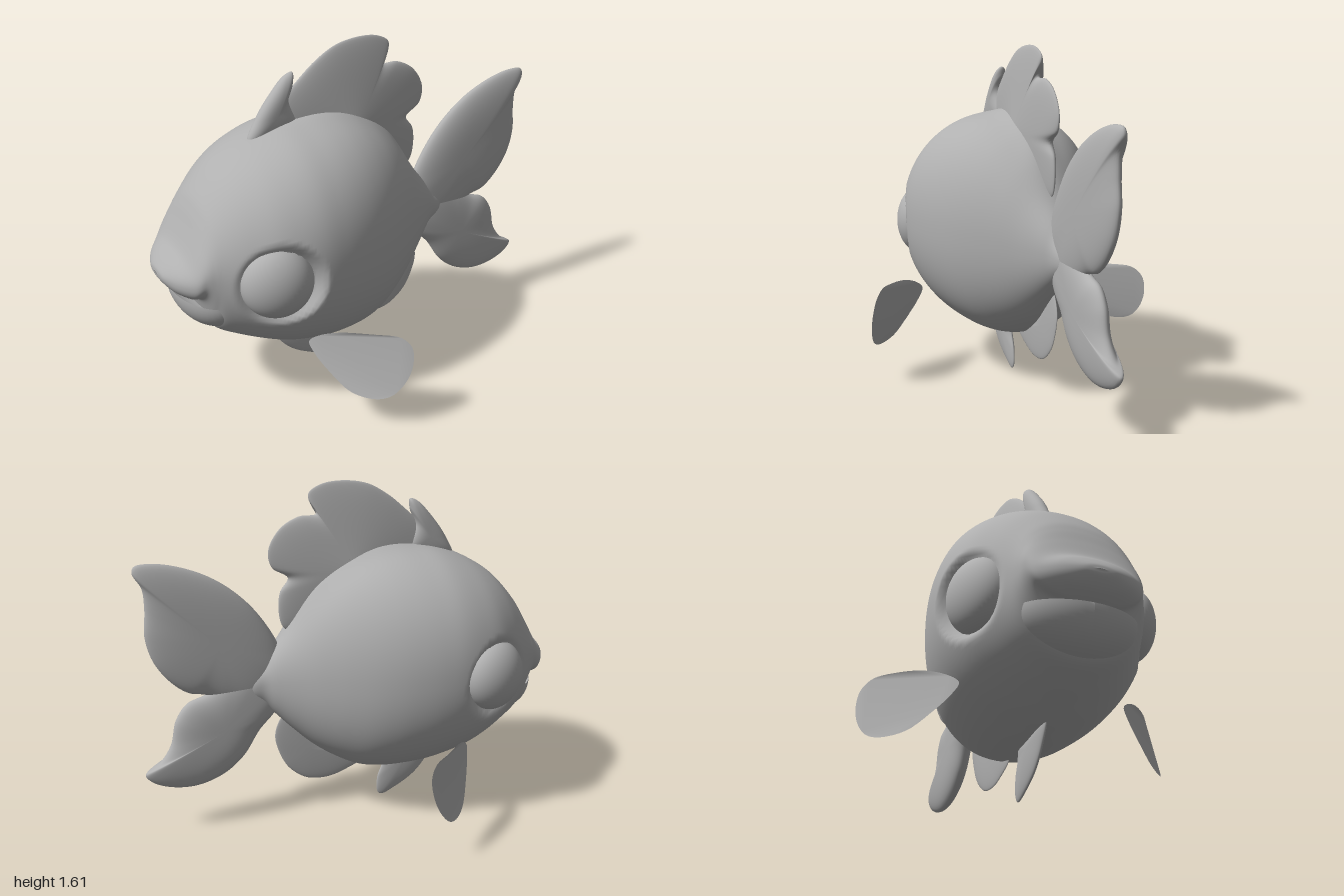
import * as THREE from 'three';

const grey = new THREE.MeshStandardMaterial({ color: 0xb0b0b0, side: THREE.DoubleSide });
grey.name = 'plain grey';

// Smooth surface from a grid of points: nu + 1 loops of nv points each
function loops(nu, nv, point) {
  const pos = [], index = [];
  for (let i = 0; i <= nu; i++) {
    for (let j = 0; j < nv; j++) {
      pos.push(...point(i / nu, j / nv));
      if (i === nu) continue;
      const a = i * nv + j, b = i * nv + (j + 1) % nv;
      index.push(a, b, a + nv, b, b + nv, a + nv);
    }
  }
  const g = new THREE.BufferGeometry();
  g.setAttribute('position', new THREE.Float32BufferAttribute(pos, 3));
  g.setIndex(index);
  g.computeVertexNormals();
  return g;
}

const outlineCurve = (pts) => new THREE.CatmullRomCurve3(
  pts.map(([x, y]) => new THREE.Vector3(x, y, 0)), true, 'centripetal');

// Solid fin: an outline swelling towards its centre.
// A higher power keeps it full up to the rim; reach makes it thin out with distance.
function fin(pts, [cx, cy], half, power = 2, reach = Infinity) {
  const flat = pts.map(([x, y]) => new THREE.Vector2(x, y));
  if (THREE.ShapeUtils.isClockWise(flat)) pts = [...pts].reverse();
  const n = 120, rim = outlineCurve(pts).getPoints(n);
  return loops(28, n, (u, v) => {
    const a = (u * 2 - 1) * Math.PI / 2, r = Math.cos(a), p = rim[Math.round(v * n)];
    const dx = (p.x - cx) * r, dy = (p.y - cy) * r;
    const taper = Math.max(0, 1 - Math.hypot(dx, dy) / reach);
    const z = Math.sign(a) * half * taper * Math.sqrt(Math.max(0, 1 - Math.pow(r, power)));
    return [cx + dx, cy + dy, z];
  });
}

// Body stations: x, top, bottom, half width
const stations = [
  [-1, 0.722, 0.718, 0.02], [-0.993, 0.745, 0.69, 0.08], [-0.96, 0.782, 0.648, 0.165],
  [-0.91, 0.825, 0.615, 0.235], [-0.865, 0.91, 0.595, 0.265], [-0.83, 0.985, 0.5, 0.285],
  [-0.79, 1.05, 0.415, 0.31], [-0.7, 1.145, 0.36, 0.37], [-0.6, 1.21, 0.315, 0.43],
  [-0.5, 1.255, 0.275, 0.462], [-0.4, 1.285, 0.25, 0.476], [-0.3, 1.295, 0.23, 0.47],
  [-0.2, 1.295, 0.222, 0.451], [-0.1, 1.28, 0.222, 0.42], [0, 1.245, 0.24, 0.375],
  [0.1, 1.185, 0.29, 0.314], [0.2, 1.09, 0.36, 0.24], [0.3, 0.955, 0.455, 0.158],
  [0.38, 0.855, 0.54, 0.095], [0.43, 0.79, 0.59, 0.06], [0.49, 0.74, 0.62, 0.042],
  [0.55, 0.69, 0.66, 0.01],
];
const EYE = [-0.59, 0.725];

function bodyGeometry() {
  const heights = new THREE.CatmullRomCurve3(
    stations.map(([x, t, b]) => new THREE.Vector3(x, t, b)), false, 'catmullrom');
  const widths = new THREE.CatmullRomCurve3(
    stations.map(([x, , , w]) => new THREE.Vector3(x, w, 0)), false, 'catmullrom');
  const swell = (s, power) => Math.sign(s) * Math.pow(Math.abs(s), power);
  const { smoothstep } = THREE.MathUtils;
  return loops(150, 128, (u, v) => {
    const h = heights.getPoint(u), w = Math.max(widths.getPoint(u).y, 0.002);
    const a = v * Math.PI * 2, c = Math.cos(a), power = c < 0 ? 0.9 : 0.93;
    let y = (h.y + h.z) / 2 + swell(c, power) * (h.y - h.z) / 2;
    let z = swell(Math.sin(a), power) * w;
    // the back rises softly into the fin
    if (c > 0) {
      y += 0.04 * Math.exp(-((z / 0.075) ** 2)) * smoothstep(h.x, -0.45, 0) * (1 - smoothstep(h.x, 0.15, 0.34));
    }
    // shallow eye sockets, deeper towards the cheek
    const d = Math.hypot((h.x - EYE[0]) / 0.2, (y - EYE[1]) / 0.21);
    const dent = 1 - smoothstep(d, 0.72, 0.95);
    z -= Math.sign(z) * dent * (0.042 + (h.x - EYE[0]) * 0.16);
    return [h.x, y, z];
  });
}

// Lower jaw: a half ball whose upper half is pressed in as the open mouth
function jawGeometry() {
  const g = new THREE.SphereGeometry(1, 48, 40), p = g.attributes.position;
  for (let i = 0; i < p.count; i++) if (p.getY(i) > 0) p.setY(i, -0.4 * p.getY(i));
  g.scale(0.175, 0.185, 0.275);
  g.translate(-0.758, 0.605, 0);
  g.computeVertexNormals();
  return g;
}

// Side fin: a thin, slightly cupped sheet, slanting outwards
function sideFinGeometry(side) {
  const pts = [[-0.455, 0.39], [-0.42, 0.43], [-0.35, 0.465], [-0.25, 0.477], [-0.16, 0.472],
    [-0.122, 0.43], [-0.125, 0.35], [-0.16, 0.265], [-0.22, 0.195], [-0.28, 0.174],
    [-0.35, 0.19], [-0.41, 0.27], [-0.445, 0.34]];
  const shape = new THREE.Shape(outlineCurve(pts).getPoints(60).map((p) => new THREE.Vector2(p.x, p.y)));
  const g = new THREE.ShapeGeometry(shape), p = g.attributes.position;
  for (let i = 0; i < p.count; i++) {
    const out = p.getX(i) + 0.455;
    const bulge = 0.035 * Math.sin(Math.PI * out / 0.335);
    p.setZ(i, side * (0.385 + out + bulge - 0.25 * (p.getY(i) - 0.38)));
  }
  if (side < 0) g.setIndex(Array.from(g.index.array).reverse());
  g.computeVertexNormals();
  return g;
}

export function createModel() {
  const model = new THREE.Group();
  model.name = 'fish';
  const add = (name, geometry) => {
    const mesh = new THREE.Mesh(geometry, grey);
    mesh.name = name;
    model.add(mesh);
    return mesh;
  };

  add('body', bodyGeometry());
  add('lowerJaw', jawGeometry());

  // Back fin: a small spike and three scalloped lobes
  add('backSpike', fin([[-0.53, 1.22], [-0.49, 1.32], [-0.41, 1.43], [-0.34, 1.5], [-0.305, 1.51],
    [-0.305, 1.47], [-0.33, 1.39], [-0.28, 1.26], [-0.4, 1.2]], [-0.4, 1.33], 0.04, 3));
  add('backFin', fin([[-0.47, 1.25], [-0.36, 1.39], [-0.27, 1.475], [-0.19, 1.54], [-0.09, 1.595],
    [0.03, 1.615], [0.13, 1.605], [0.19, 1.57], [0.19, 1.535], [0.155, 1.472], [0.24, 1.465],
    [0.33, 1.415], [0.385, 1.32], [0.37, 1.24], [0.295, 1.185], [0.335, 1.12], [0.342, 1.02],
    [0.32, 0.95], [0.27, 0.93], [0.18, 1.02], [0, 1.15], [-0.25, 1.21]], [-0.02, 1.2], 0.07, 8, 0.54));

  // Tail: two swollen lobes, overlapping where they leave the body
  add('tailUpperLobe', fin([[0.34, 0.85], [0.42, 1], [0.52, 1.12], [0.65, 1.22], [0.8, 1.285],
    [0.92, 1.308], [0.985, 1.3], [0.995, 1.27], [0.958, 1.2], [0.952, 1.1], [0.96, 0.98],
    [0.93, 0.86], [0.86, 0.755], [0.78, 0.69], [0.7, 0.67], [0.58, 0.61], [0.43, 0.57],
    [0.31, 0.7]], [0.63, 0.91], 0.05, 3));
  add('tailLowerLobe', fin([[0.36, 0.56], [0.45, 0.46], [0.53, 0.34], [0.63, 0.26], [0.76, 0.22],
    [0.88, 0.23], [0.97, 0.27], [0.998, 0.312], [0.93, 0.36], [0.875, 0.44], [0.845, 0.56],
    [0.79, 0.635], [0.7, 0.67], [0.58, 0.74], [0.43, 0.79], [0.32, 0.68]], [0.63, 0.49], 0.05, 3));

  // Belly fins on the centre line
  add('frontBellyFin', fin([[-0.47, 0.28], [-0.42, 0.17], [-0.35, 0.09], [-0.25, 0.03], [-0.175, 0.003],
    [-0.155, 0.025], [-0.155, 0.1], [-0.18, 0.17], [-0.2, 0.25], [-0.33, 0.28]], [-0.3, 0.2], 0.021));
  add('rearBellyFin', fin([[-0.08, 0.23], [0.03, 0.17], [0.12, 0.15], [0.22, 0.165], [0.31, 0.235],
    [0.355, 0.32], [0.375, 0.4], [0.365, 0.46], [0.33, 0.51], [0.25, 0.46], [0.1, 0.33]],
  [0.2, 0.32], 0.014));

  // Paired parts
  for (const side of [1, -1]) {
    const label = side > 0 ? 'Near' : 'Far';
    const eye = add('eye' + label, new THREE.SphereGeometry(1, 48, 32));
    eye.scale.set(0.162, 0.168, 0.112);
    eye.position.set(EYE[0], EYE[1], side * 0.356);
    eye.rotation.y = -side * 0.32;
    add('sideFin' + label, sideFinGeometry(side));
  }
  return model;
}
